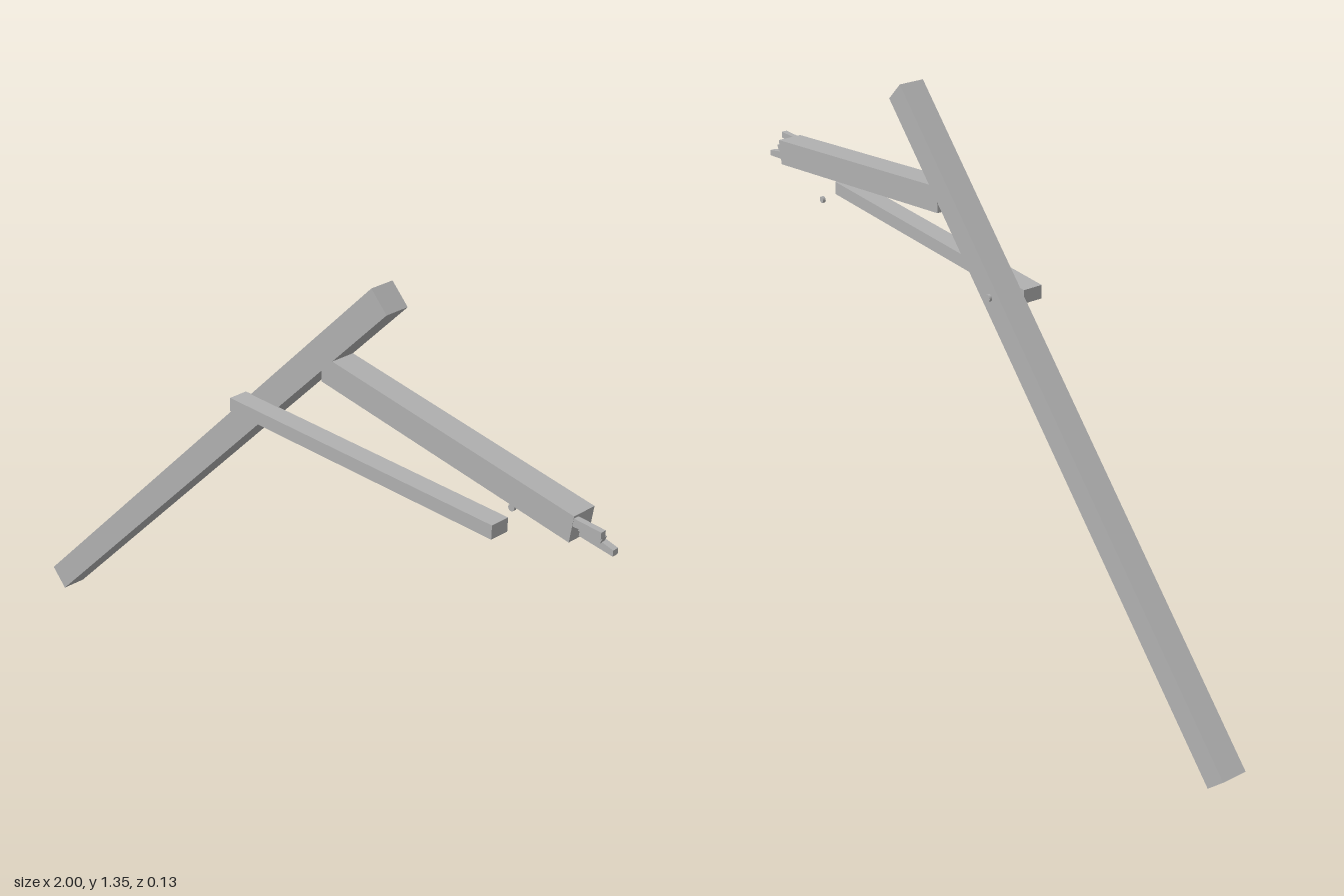
import * as THREE from 'three';

export function createModel() {
  const group = new THREE.Group();
  const grey = new THREE.MeshStandardMaterial({ color: 0xb0b0b0 });

  // Timber cut from a side outline, running from z0 to z1
  function timber(name, points, z0, z1) {
    const shape = new THREE.Shape(points.map(([x, y]) => new THREE.Vector2(x, y)));
    const geometry = new THREE.ExtrudeGeometry(shape, { depth: z1 - z0, bevelEnabled: false });
    const mesh = new THREE.Mesh(geometry, grey);
    mesh.name = name;
    mesh.position.z = z0;
    group.add(mesh);
  }

  const back = -0.056, front = 0.012;

  // Long sloping rafter
  timber('rafter', [[-0.95, 0], [0.345, 1.3], [0.295, 1.35], [-1, 0.05]], back, front);

  // Arm, with its inner end mitred against the rafter
  timber('arm', [[0.137, 1.063], [0.905, 0.95], [0.914, 1.018], [0.171, 1.127], [0.137, 1.093]], back, front);

  // Level brace on the front of the rafter
  timber('brace', [[-0.134, 0.903], [0.731, 0.903], [0.731, 0.939], [-0.134, 0.939]], 0.01, 0.063);

  // Splintered prongs on the outer end of the arm
  timber('upperProng', [[0.9, 0.992], [0.988, 0.992], [0.988, 1.009], [0.9, 1.013]], -0.004, 0.011);
  timber('middleProng', [[0.9, 0.971], [0.968, 0.964], [0.975, 0.98], [0.9, 0.99]], -0.028, -0.014);
  timber('lowerProng', [[0.9, 0.955], [1, 0.943], [1, 0.958], [0.94, 0.972], [0.9, 0.975]], -0.037, -0.02);

  // Bolt heads on the back, in line with the brace
  for (const x of [-0.086, 0.684]) {
    const bolt = new THREE.Mesh(new THREE.CylinderGeometry(0.009, 0.009, 0.008, 12), grey);
    bolt.name = 'boltHead';
    bolt.rotation.x = Math.PI / 2;
    bolt.position.set(x, 0.919, -0.059);
    group.add(bolt);
  }

  return group;
}
